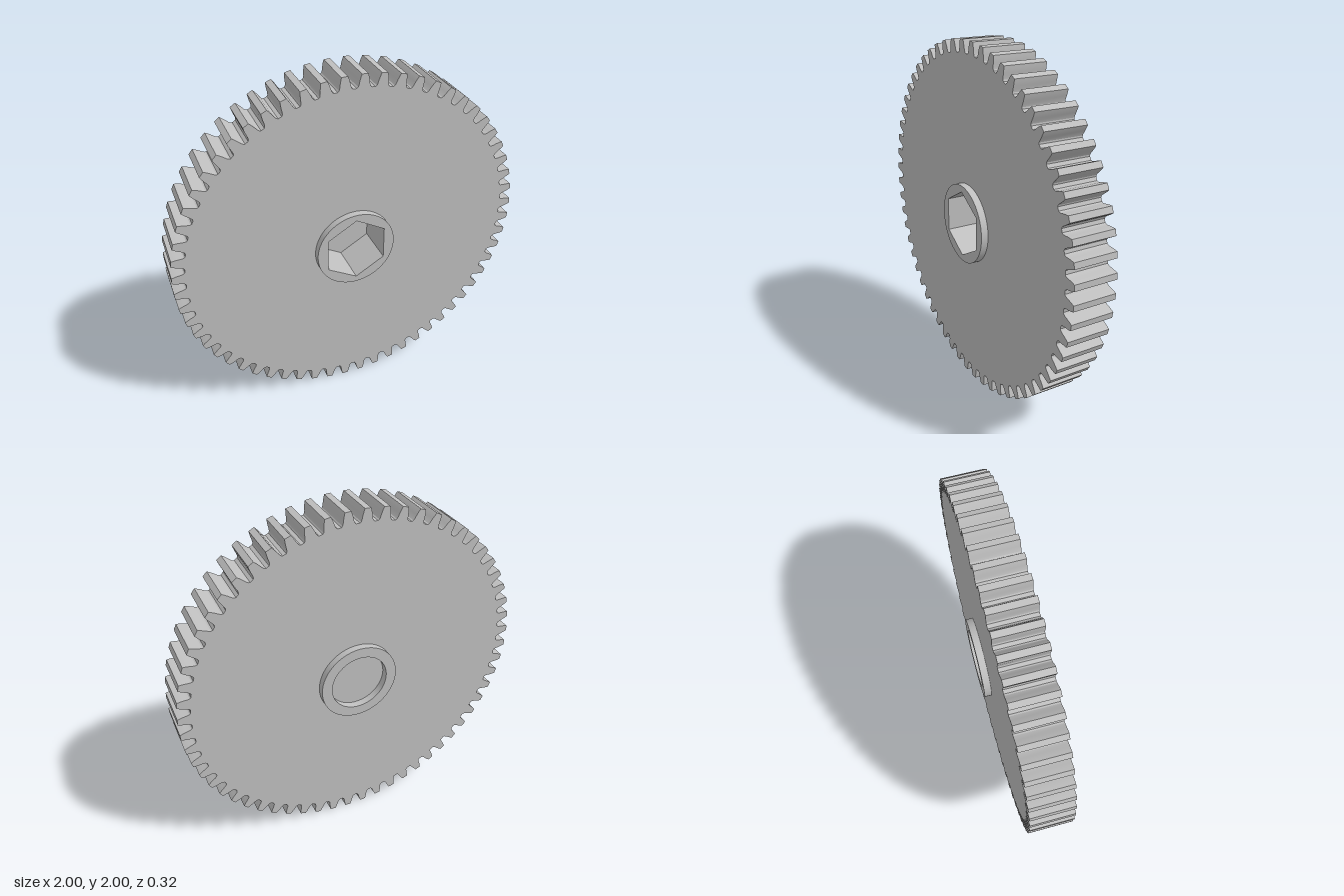
import * as THREE from 'three';
import { toCreasedNormals } from 'three/addons/utils/BufferGeometryUtils.js';

const TEETH = 60;
const HUB_RADIUS = 0.225;
// Half of one tooth: [radius, angle from the tooth's middle], tip to root
const FLANK = [[1, 0.0165], [0.985, 0.0215], [0.966, 0.0265], [0.947, 0.0305], [0.936, 0.035], [0.93, 0.042]];

function circle(radius, Type = THREE.Shape) {
  return new Type().absarc(0, 0, radius, 0, Math.PI * 2, false);
}

function gearOutline() {
  const points = [];
  const halfTooth = [...FLANK].reverse().map(([r, a]) => [r, -a]).concat(FLANK);
  for (let i = 0; i < TEETH; i++) {
    const middle = ((i + 0.5) / TEETH) * Math.PI * 2;
    for (const [r, a] of halfTooth) {
      points.push(new THREE.Vector2(r * Math.cos(middle + a), r * Math.sin(middle + a)));
    }
  }
  return new THREE.Shape(points);
}

function hexagon(radius) {
  const points = [];
  for (let i = 0; i < 6; i++) {
    const a = Math.PI / 2 + (i * Math.PI) / 3;
    points.push(new THREE.Vector2(radius * Math.cos(a), radius * Math.sin(a)));
  }
  return new THREE.Path(points);
}

export function createModel() {
  const group = new THREE.Group();
  group.name = 'spurGear';
  const grey = new THREE.MeshStandardMaterial({ color: 0xc0c0c0 });
  grey.name = 'light grey';

  // Extrudes a shape between two z planes, around the axle at y = 1
  function addPlate(name, shape, hole, back, front) {
    if (hole) shape.holes.push(hole);
    const geometry = new THREE.ExtrudeGeometry(shape, {
      depth: front - back, bevelEnabled: false, curveSegments: 48,
    });
    const mesh = new THREE.Mesh(toCreasedNormals(geometry, 0.3), grey);
    mesh.name = name;
    mesh.position.set(0, 1, back);
    group.add(mesh);
  }

  // Toothed disc, open in the middle for the hub
  addPlate('toothedDisc', gearOutline(), circle(HUB_RADIUS, THREE.Path), -0.12, 0.12);
  // Hub with the deep hexagonal socket in front
  addPlate('hexHub', circle(HUB_RADIUS), hexagon(0.19), -0.075, 0.16);
  // Web that closes the socket
  addPlate('hubWeb', circle(HUB_RADIUS), null, -0.118, -0.075);
  // Raised ring with a shallow round recess at the back
  addPlate('backRing', circle(HUB_RADIUS), circle(0.165, THREE.Path), -0.16, -0.118);

  return group;
}
